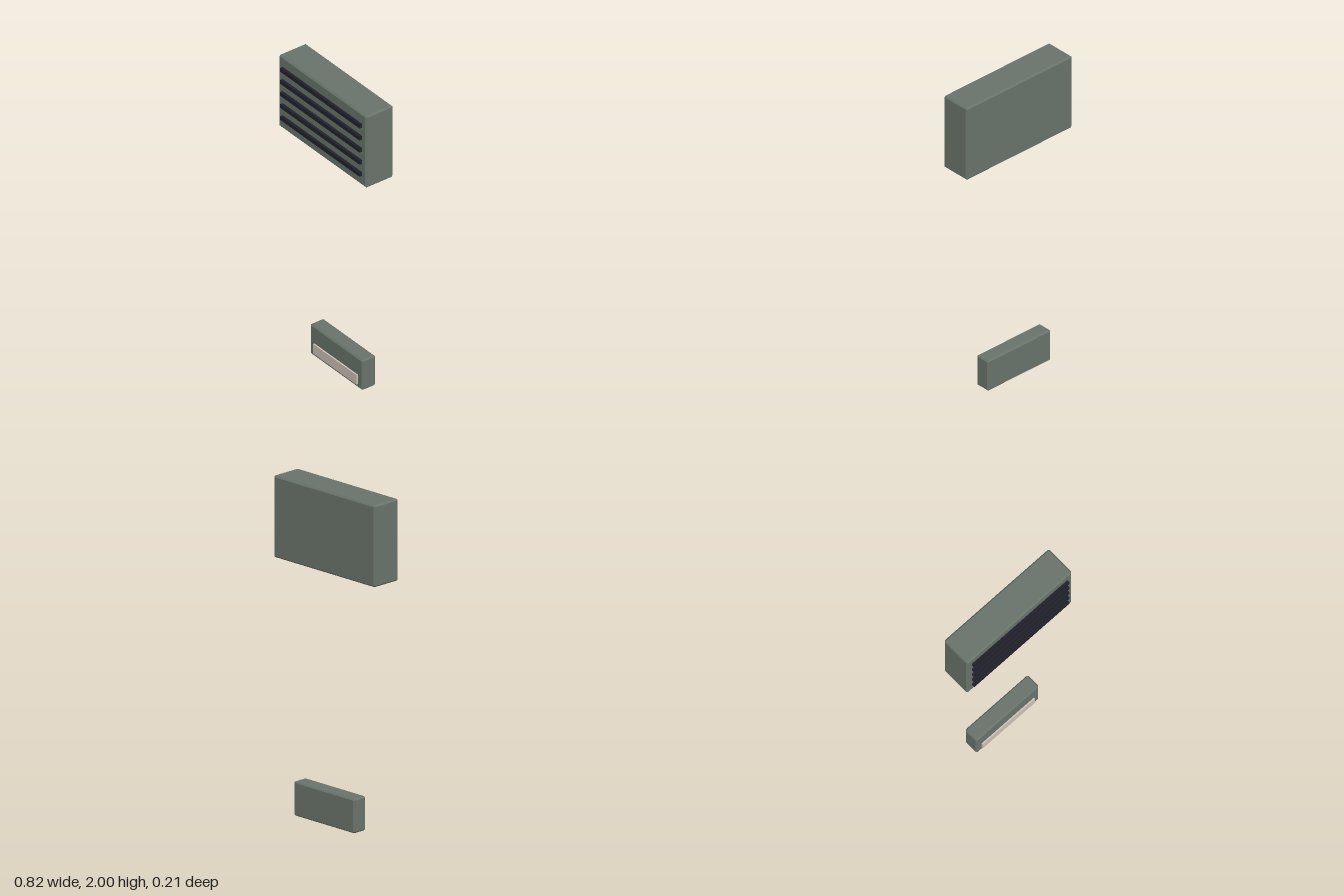
import * as THREE from 'three';
import { ConvexGeometry } from 'three/addons/geometries/ConvexGeometry.js';

// Box with every edge cut by a flat 45 degree chamfer
function chamferBox(w, h, d, c) {
  const points = [];
  for (const x of [-1, 1]) for (const y of [-1, 1]) for (const z of [-1, 1]) {
    for (let axis = 0; axis < 3; axis++) {
      const inset = [c, c, c];
      inset[axis] = 0;
      points.push(new THREE.Vector3(
        x * (w / 2 - inset[0]), y * (h / 2 - inset[1]), z * (d / 2 - inset[2])));
    }
  }
  return new ConvexGeometry(points);
}

export function createModel() {
  const model = new THREE.Group();
  const casing = new THREE.MeshStandardMaterial({ color: 0x68736a });
  casing.name = 'greyGreenCasing';
  const dark = new THREE.MeshStandardMaterial({ color: 0x20202a });
  dark.name = 'darkSlat';
  const pale = new THREE.MeshStandardMaterial({ color: 0xcbc0b4 });
  pale.name = 'paleLabel';

  const add = (name, geometry, material, x, y, z) => {
    const mesh = new THREE.Mesh(geometry, material);
    mesh.name = name;
    mesh.position.set(x, y, z);
    model.add(mesh);
  };

  // Upper vent housing with five horizontal slats
  add('ventHousing', chamferBox(0.82, 0.49, 0.195, 0.009), casing, 0, 1.755, -0.01);
  const slat = new THREE.BoxGeometry(0.744, 0.025, 0.025);
  for (let i = 0; i < 5; i++) {
    add('ventSlat' + (i + 1), slat, dark, 0, 1.591 + i * 0.0825, 0.0935);
  }

  // Lower box with a pale label plate low on its front
  add('lowerBox', chamferBox(0.49, 0.205, 0.096, 0.008), casing, 0, 0.1025, -0.0595);
  add('labelPlate', new THREE.BoxGeometry(0.408, 0.065, 0.0095), pale, 0, 0.058, -0.0068);
  return model;
}
